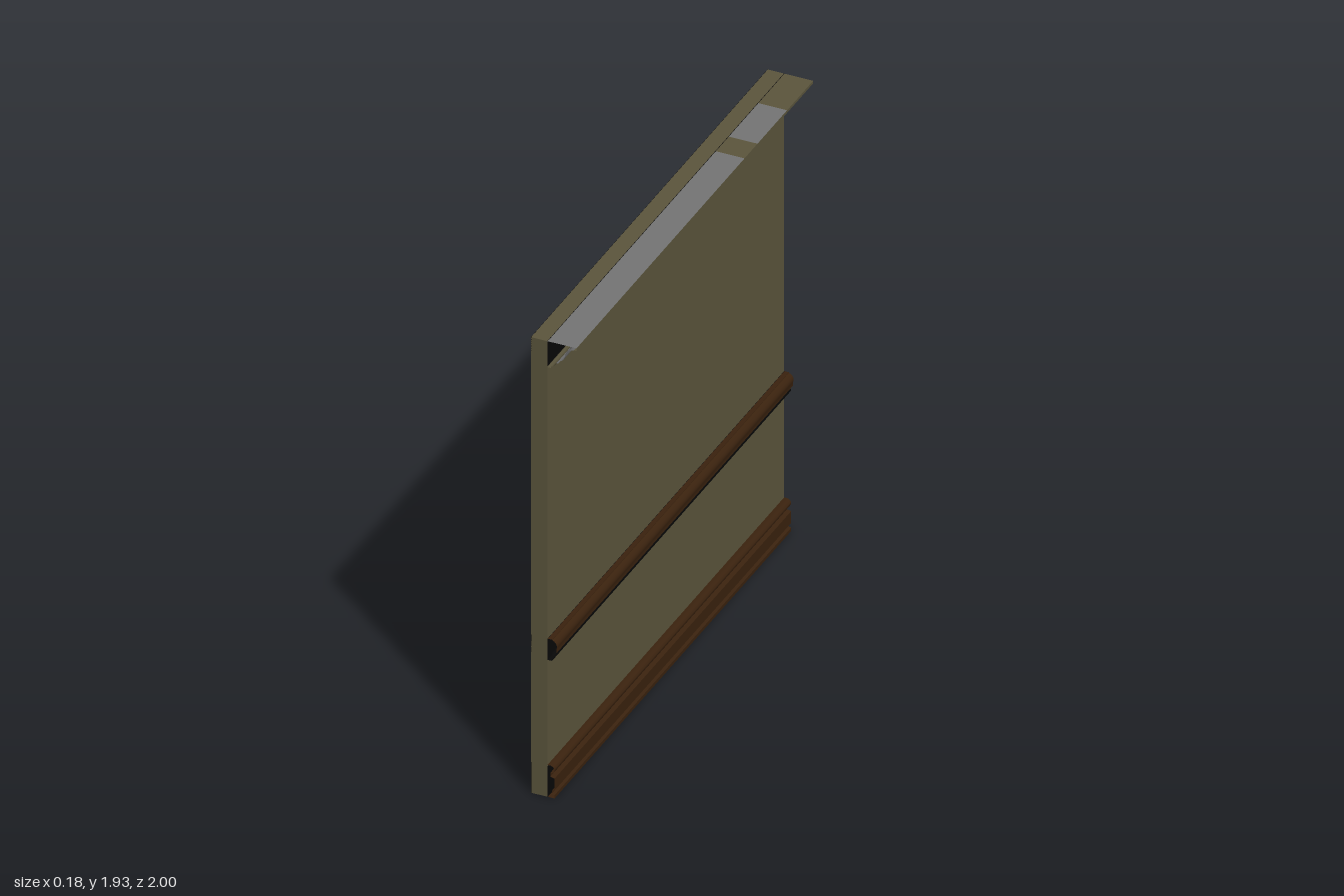
import * as THREE from 'three';
import { toCreasedNormals } from 'three/addons/utils/BufferGeometryUtils.js';

const FACE = -0.025, BACK = -0.09, HEIGHT = 1.93;

function material(name, color) {
  const m = new THREE.MeshStandardMaterial({ color, side: THREE.DoubleSide });
  m.name = name;
  return m;
}

// Open strip: a profile of [x, y] points, listed top to bottom, swept along z
function sweep(name, profile, mat, z0 = -1, z1 = 1) {
  const pos = [];
  for (let i = 0; i < profile.length - 1; i++) {
    const [ax, ay] = profile[i], [bx, by] = profile[i + 1];
    pos.push(ax, ay, z1, bx, by, z1, bx, by, z0);
    pos.push(ax, ay, z1, bx, by, z0, ax, ay, z0);
  }
  const geo = new THREE.BufferGeometry();
  geo.setAttribute('position', new THREE.Float32BufferAttribute(pos, 3));
  const mesh = new THREE.Mesh(toCreasedNormals(geo, 0.6), mat);
  mesh.name = name;
  return mesh;
}

// Smooth S-curve or roll between two points, given two control points
function curve(a, b, c, d, n = 8) {
  const v = [a, b, c, d].map(p => new THREE.Vector2(...p));
  return new THREE.CubicBezierCurve(...v).getPoints(n).map(p => [p.x, p.y]);
}

export function createModel() {
  const group = new THREE.Group();
  const olive = material('olive wall paint', 0x5c563d);
  const grey = material('grey plaster', 0x757575);
  const brown = material('dark brown wood', 0x3a220e);
  const black = material('black backing', 0x080808);

  // Wall slab
  const wall = new THREE.Mesh(new THREE.BoxGeometry(FACE - BACK, HEIGHT, 2), olive);
  wall.position.set((FACE + BACK) / 2, HEIGHT / 2, 0);
  wall.name = 'wall';
  group.add(wall);

  // Black bands on both wall faces behind each moulding
  for (const [y0, y1] of [[0, 0.13], [0.58, 0.67], [1.825, HEIGHT]]) {
    for (const x of [BACK, FACE]) {
      const band = new THREE.Mesh(new THREE.BoxGeometry(0.002, y1 - y0, 2), black);
      band.position.set(x, (y0 + y1) / 2, 0);
      band.name = x === BACK ? 'rearBand' : 'hiddenBand';
      group.add(band);
    }
  }

  // Crown moulding: flat top in painted patches, lip, curved face, foot fillet
  const crown = new THREE.Group();
  crown.name = 'crownMoulding';
  const patches = [[-1, -0.78, olive], [-0.78, -0.53, grey], [-0.53, -0.42, olive], [-0.42, 1, grey]];
  for (const [z0, z1, mat] of patches) {
    crown.add(sweep('crownTop', [[FACE, HEIGHT], [0.09, HEIGHT]], mat, z0, z1));
  }
  crown.add(sweep('crownLip', [[0.09, HEIGHT], [0.09, 1.919], [0.08, 1.919]], olive));
  crown.add(sweep('crownCurve', [
    ...curve([0.08, 1.919], [0.055, 1.912], [0.045, 1.9], [0.044, 1.885]),
    ...curve([0.044, 1.885], [0.043, 1.87], [0.035, 1.86], [0.018, 1.856]),
    [0.018, 1.847], [0.008, 1.843],
  ], grey));
  crown.add(sweep('crownFoot', [
    ...curve([0.008, 1.843], [0.006, 1.833], [-0.002, 1.828], [-0.012, 1.827], 5),
    [-0.012, 1.82], [FACE, 1.82],
  ], olive));
  group.add(crown);

  // Chair rail: brown roll above a black stepped underside
  const rail = new THREE.Group();
  rail.name = 'chairRail';
  rail.add(sweep('railUpper', [
    [FACE, 0.67], [-0.006, 0.67],
    ...curve([-0.006, 0.668], [0.012, 0.662], [0.016, 0.645], [0.01, 0.632], 6),
    [0.01, 0.617],
  ], brown));
  rail.add(sweep('railLower', [
    [0.01, 0.617], [-0.008, 0.613], [-0.008, 0.606],
    ...curve([-0.004, 0.606], [0.006, 0.602], [0.004, 0.59], [-0.01, 0.58], 5),
    [FACE, 0.58],
  ], black));
  group.add(rail);

  // Skirting board with two rolls and grooves
  group.add(sweep('skirtingBoard', [
    [FACE, 0.135], [-0.012, 0.135],
    ...curve([-0.012, 0.135], [0.004, 0.13], [0.006, 0.117], [-0.002, 0.106], 6),
    [-0.014, 0.104], [-0.014, 0.088], [0.003, 0.084], [0.003, 0.034],
    [-0.008, 0.03], [-0.008, 0.018], [0.003, 0.014], [0.003, 0], [FACE, 0],
  ], brown));
  return group;
}
